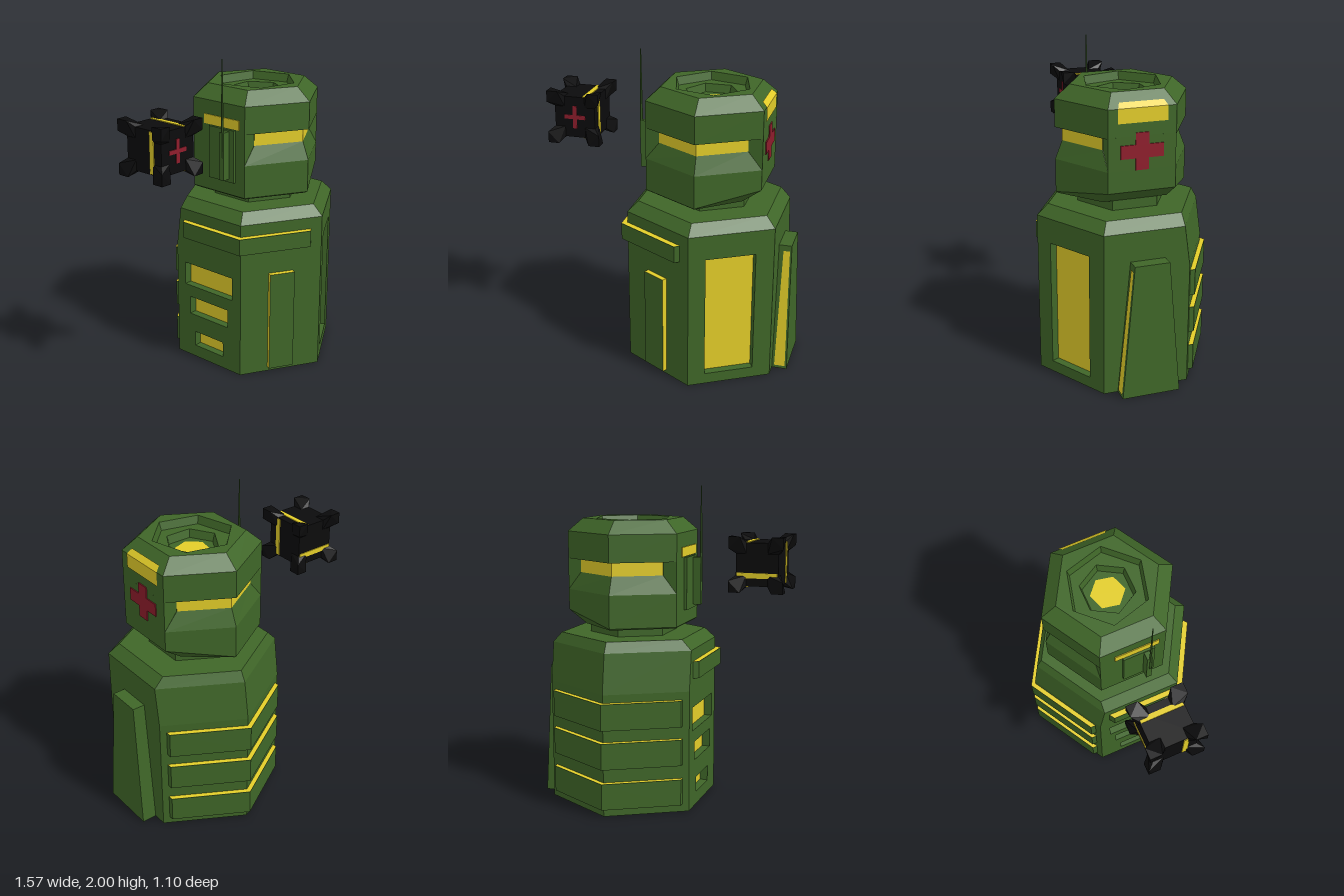
import * as THREE from 'three';
import { ConvexGeometry } from 'three/addons/geometries/ConvexGeometry.js';

const CX = 0.222, CZ = 0.015, R = 0.535, APO = R * Math.cos(Math.PI / 6);
const paint = (color) => new THREE.MeshStandardMaterial({ color, flatShading: true, side: THREE.DoubleSide });

export function createModel() {
  const green = paint(0x3f6628), yellow = paint(0xe3cd29), red = paint(0x8f1d2c), black = paint(0x0b0b0c);
  const model = new THREE.Group();

  const add = (name, geo, mat, parent = model) => {
    const m = new THREE.Mesh(geo, mat);
    m.name = name;
    parent.add(m);
    return m;
  };
  const box = (name, mat, [w, h, d], [x, y, z], parent) => {
    const m = add(name, new THREE.BoxGeometry(w, h, d), mat, parent);
    m.position.set(x, y, z);
    return m;
  };
  // flat-shaded surface from four-cornered faces
  const quads = (list) => {
    const p = list.flatMap(([a, b, c, d]) => [a, b, c, a, c, d]).flat();
    const g = new THREE.BufferGeometry();
    g.setAttribute('position', new THREE.Float32BufferAttribute(p, 3));
    g.computeVertexNormals();
    return g;
  };
  // skin between rings listed bottom to top
  const loft = (rings, { skip = () => false, bottom = false, top = false } = {}) => {
    const list = [], n = rings[0].length;
    const cap = (r, flip) => {
      for (let i = 1; i < n - 1; i += 2) {
        const q = [r[0], r[i], r[i + 1], r[(i + 2) % n]];
        list.push(flip ? q.reverse() : q);
      }
    };
    for (let j = 0; j < rings.length - 1; j++) for (let i = 0; i < n; i++) {
      const k = (i + 1) % n;
      if (!skip(j, i)) list.push([rings[j][i], rings[j][k], rings[j + 1][k], rings[j + 1][i]]);
    }
    if (bottom) cap(rings[0], true);
    if (top) cap(rings[rings.length - 1], false);
    return quads(list);
  };
  // hexagon ring: corner 0 at the front, then round by +x
  const hex = (r, y, turn = 0) => Array.from({ length: 6 }, (_, i) => {
    const a = (i * Math.PI) / 3 + turn;
    return [CX + r * Math.sin(a), y, CZ + r * Math.cos(a)];
  });
  // holder whose +z points out of one hexagon side
  const side = (i) => {
    const g = new THREE.Group();
    g.name = 'sidePanel';
    g.position.set(CX, 0, CZ);
    g.rotation.y = ((i + 0.5) * Math.PI) / 3;
    model.add(g);
    return g;
  };
  const shapeOf = (pts) => new THREE.Shape(pts.map(([x, y]) => new THREE.Vector2(x, y)));
  const plan = (ring) => ring.map((p) => [p[0], -p[p.length - 1]]);

  // body shell, with the upper back leaning in
  const lean = hex(R, 1.015).map(([x, y, z], i) => [x, y, z + (i > 1 && i < 5 ? 0.035 : 0)]);
  add('body', loft([hex(R, 0), hex(R, 0.767), lean, hex(0.465, 1.08)],
    { skip: (j, i) => j < 2 && (i === 0 || i === 4), bottom: true, top: true }), green);

  // walls with sunken yellow windows
  const windowWall = (i, outline, holes) => {
    const s = shapeOf(outline), g = side(i);
    for (const [x0, x1, y0, y1] of holes) {
      s.holes.push(new THREE.Path([[x0, y0], [x0, y1], [x1, y1], [x1, y0]].map((p) => new THREE.Vector2(...p))));
      box('windowPane', yellow, [x1 - x0 + 0.02, y1 - y0 + 0.02, 0.01], [(x0 + x1) / 2, (y0 + y1) / 2, APO - 0.055], g);
    }
    add('windowWall', new THREE.ExtrudeGeometry(s, { depth: 0.05, bevelEnabled: false }), green, g).position.z = APO - 0.05;
  };
  const h = R / 2;
  windowWall(0, [[-h, 0], [h, 0], [h, 1.015], [-h, 1.015]], [[-0.16, 0.152, 0.07, 0.86]]);
  windowWall(4, [[-h, 0], [h, 0], [h, 1.015], [0.035 - h, 1.015], [-h, 0.767]],
    [[-0.2, 0.2, 0.5, 0.65], [-0.16, 0.16, 0.3, 0.42], [-0.12, 0.12, 0.08, 0.18]]);

  // front door plate with yellow edges
  box('doorPlate', [yellow, yellow, yellow, yellow, green, green], [0.163, 0.65, 0.05], [-0.002, 0.355, APO + 0.007], side(5));

  // bands folded round the corners, yellow on top
  const band = (name, pts, y0, y1) => {
    const s = shapeOf(plan(pts));
    const g = new THREE.ExtrudeGeometry(s, { depth: y1 - y0, bevelEnabled: false });
    add(name, g.rotateX(-Math.PI / 2), green).position.y = y0;
    add(name + 'Top', new THREE.ShapeGeometry(s).rotateX(-Math.PI / 2), yellow).position.y = y1 + 0.002;
  };
  band('shoulderBand', [[-0.275, -0.165], [-0.275, 0.303], [0.13, 0.535], [0.165, 0.51], [-0.235, 0.28], [-0.235, -0.19]], 0.835, 0.94);
  for (const y of [0.05, 0.305, 0.55])
    band('backBar', [[-0.205, -0.305], [CX, -0.552], [0.65, -0.305], [0.65, -0.27], [CX, -0.51], [-0.205, -0.27]], y, y + 0.165);

  // tapered side buttress with a yellow front strip
  const block = (x, z0, z1, y) => [[0.68, y, z0], [x, y, z0], [x, y, z1], [0.68, y, z1]];
  add('buttress', loft([block(0.78, 0.196, -0.164, 0), block(0.765, 0.12, -0.095, 0.835)], { bottom: true, top: true }), green);
  const slope = (x, y) => [x, y, 0.2 - 0.091 * y];
  add('buttressStrip', quads([[slope(0.7, 0.02), slope(0.768, 0.02), slope(0.755, 0.8), slope(0.715, 0.8)]]), yellow);

  // neck
  add('neck', loft([hex(0.28, 1.07), hex(0.28, 1.15)]), green);

  // head, with the visor slot set back at front and rear
  const HR = 0.415;
  const base = hex(0.4, 1.14), chin = hex(HR, 1.15);
  for (const i of [1, 2]) { base[i][0] = 0.465; chin[i][1] = 1.226; }
  const slot = (y) => hex(0.371, y).map(([x, , z], i) => i % 3 === 0 ? [x, y, z]
    : [CX + Math.sign(x - CX) * 0.273, y, CZ + Math.sign(z - CZ) * 0.21]);
  add('head', loft([base, chin, hex(HR, 1.355), slot(1.465), slot(1.55), hex(HR, 1.55), hex(HR, 1.72), hex(0.32, 1.8)],
    { skip: (j, i) => j === 3 && i % 3 !== 1, bottom: true }), green);
  add('visor', loft([slot(1.465), slot(1.55)], { skip: (j, i) => i % 3 === 1 }), yellow);
  for (const s of [1, -1])
    box('headCheek', green, [0.087, 0.2, 0.415], [CX + s * 0.316, 1.455, CZ], model);

  // stepped hollow in the top of the head
  const annulus = (name, outer, inner) => {
    const s = shapeOf(plan(outer));
    s.holes.push(new THREE.Path(plan(inner).map((p) => new THREE.Vector2(...p))));
    add(name, new THREE.ShapeGeometry(s).rotateX(-Math.PI / 2), green).position.y = outer[0][1];
  };
  const t1 = 0.27, t2 = 0.52;
  annulus('headRim', hex(0.32, 1.8), hex(0.25, 1.8, t1));
  add('hollowWall', loft([hex(0.235, 1.75, t1), hex(0.25, 1.8, t1)]), green);
  annulus('hollowStep', hex(0.235, 1.75, t1), hex(0.165, 1.75, t2));
  add('hollowWall', loft([hex(0.15, 1.7, t2), hex(0.165, 1.75, t2)]), green);
  annulus('hollowFloor', hex(0.15, 1.7, t2), hex(0.105, 1.7, -0.2));
  add('topLamp', loft([hex(0.105, 1.69, -0.2), hex(0.105, 1.7, -0.2)], { top: true }), yellow);

  // lamp folded over the upper edge of the head's side
  const lampRow = (x, y, e) => [[x, y, 0.164 - e], [x, y, -0.138 + e]];
  const lamp = [lampRow(0.586, 1.635, 0), lampRow(0.586, 1.722, 0), lampRow(0.556, 1.752, 0.016)];
  add('sideLamp', quads([0, 1].map((i) => [lamp[i][0], lamp[i][1], lamp[i + 1][1], lamp[i + 1][0]])), yellow);

  // cross sign from one outline
  const cross = (name, a, b, t, depth, parent) => add(name, new THREE.ExtrudeGeometry(shapeOf([
    [-t, -b], [t, -b], [t, -t], [a, -t], [a, t], [t, t], [t, b], [-t, b], [-t, t], [-a, t], [-a, -t], [-t, -t],
  ]), { depth, bevelEnabled: false }), red, parent);
  const headCross = cross('headCross', 0.13, 0.111, 0.04, 0.008);
  headCross.rotation.y = Math.PI / 2;
  headCross.position.set(0.58, 1.466, 0.016);

  // aerial unit on the other side of the head
  box('aerialLamp', yellow, [0.01, 0.06, 0.28], [-0.138, 1.6, 0.04], model);
  box('aerialPlate', green, [0.02, 0.33, 0.2], [-0.145, 1.4, 0.05], model);
  box('aerialBox', green, [0.07, 0.3, 0.035], [-0.17, 1.405, 0.095], model);
  add('aerial', new THREE.CylinderGeometry(0.003, 0.011, 0.6, 6), green).position.set(-0.2, 1.7, 0.1);

  // hovering cube with flared corners
  const drone = new THREE.Group();
  drone.name = 'hoverCube';
  drone.position.set(-0.622, 1.545, 0);
  drone.scale.z = 1.05;
  model.add(drone);
  box('cubeCore', black, [0.26, 0.26, 0.26], [0, 0, 0], drone);
  const T = 0.167, A = 0.097, B = 0.13, C = 0.065;
  const corner = [[T, T, T], [A, T, T], [T, A, T], [T, T, A], [C, B, B], [B, C, B], [B, B, C],
    [C, C, B], [C, B, C], [B, C, C]];
  for (const x of [1, -1]) for (const y of [1, -1]) for (const z of [1, -1])
    add('cubeCorner', new ConvexGeometry(corner.map((p) => new THREE.Vector3(p[0] * x, p[1] * y, p[2] * z))), black, drone);
  cross('cubeCross', 0.068, 0.072, 0.013, 0.006, drone).position.z = 0.128;
  for (const s of [1, -1]) {
    box('cubeStrip', yellow, [0.032, 0.01, 0.25], [0.066, s * 0.13, 0], drone);
    box('cubeStrip', yellow, [0.01, 0.25, 0.032], [s * 0.13, 0, 0.06], drone);
  }
  box('cubeStrip', yellow, [0.25, 0.032, 0.01], [0, -0.066, -0.13], drone);

  return model;
}
